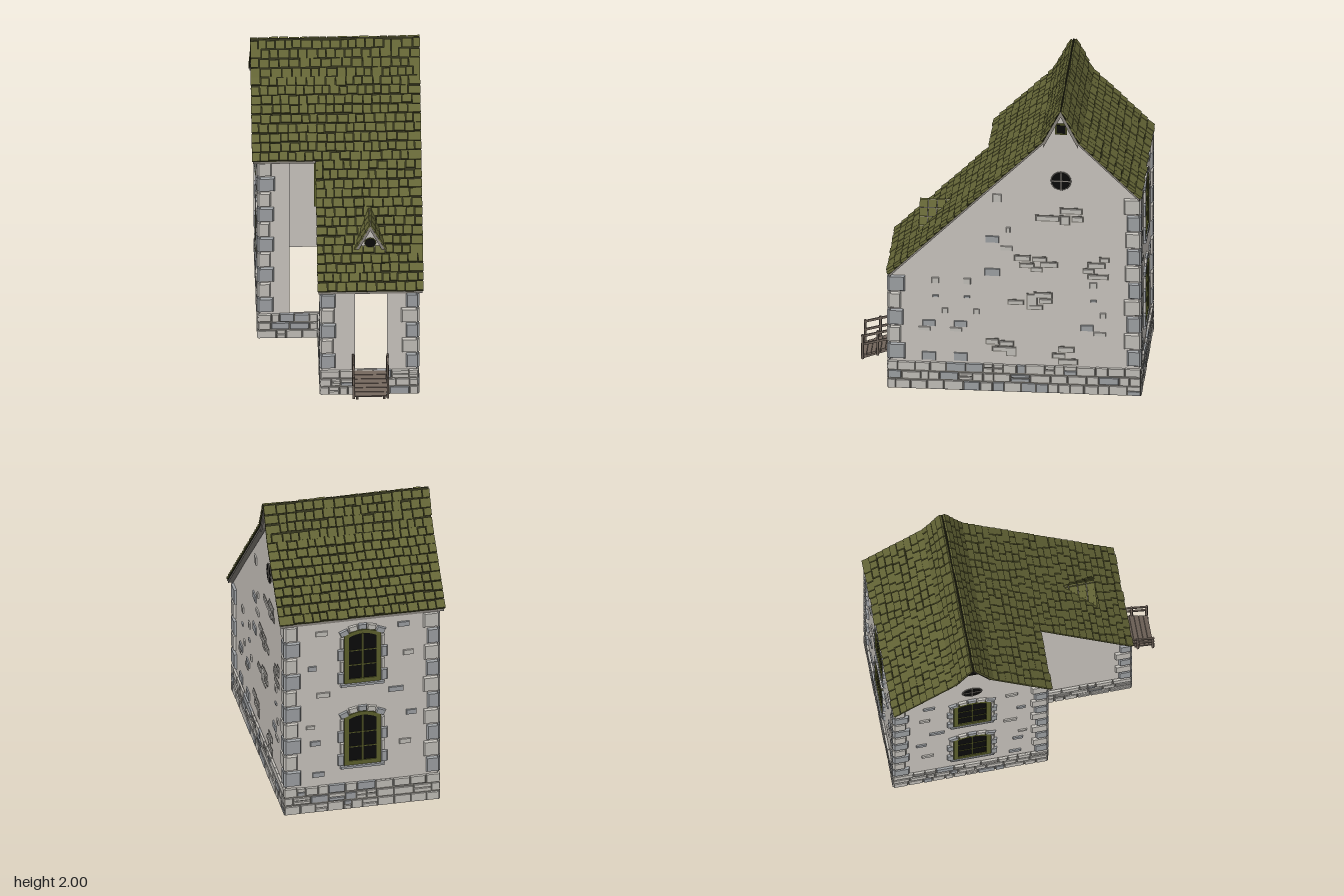
import * as THREE from 'three';
import { mergeGeometries } from 'three/addons/utils/BufferGeometryUtils.js';

const mat = (name, color) => Object.assign(new THREE.MeshStandardMaterial({ color }), { name });
const M = {
  plaster: mat('plaster', 0xc6c1bb), light: mat('light stone', 0xbfbcb6), mid: mat('grey stone', 0x9b9ea1),
  mortar: mat('mortar', 0x74716b), tile: mat('mossy tile', 0x646536), dark: mat('roof gap', 0x2f2f1b),
  trim: mat('trim', 0x87827b), glass: mat('dark pane', 0x0a0a0a), frame: mat('window frame', 0x5b5f2b),
  wood: mat('wood', 0x70645a),
};
M.plaster.side = THREE.DoubleSide;

let seed = 7;
const rnd = (a, b) => { seed = (seed * 16807) % 2147483647; return a + (b - a) * seed / 2147483647; };

function put(parent, name, material, geos) {
  const list = [].concat(geos).map(g => (g.index ? g.toNonIndexed() : g));
  const m = new THREE.Mesh(list.length > 1 ? mergeGeometries(list) : list[0], material);
  m.name = name;
  parent.add(m);
  return m;
}
const box = (w, h, d, x, y, z) => new THREE.BoxGeometry(w, h, d).translate(x, y, z);
// hewn block: the outer (+z) face is drawn in on all sides
function block(w, h, d, x, y, z, bevel = 0.006) {
  const g = new THREE.BoxGeometry(w, h, d).toNonIndexed(), p = g.attributes.position;
  for (let i = 0; i < p.count; i++) if (p.getZ(i) > 0) {
    p.setX(i, p.getX(i) - Math.sign(p.getX(i)) * bevel);
    p.setY(i, p.getY(i) - Math.sign(p.getY(i)) * bevel);
  }
  g.computeVertexNormals();
  return g.translate(x, y, z);
}
const shapeOf = pts => new THREE.Shape(pts.map(([a, b]) => new THREE.Vector2(a, b)));
const slab = (shape, depth, z = 0) =>
  new THREE.ExtrudeGeometry(shape, { depth, bevelEnabled: false, curveSegments: 8 }).translate(0, 0, z);

// arched window with stone surround, in wall coordinates
function archWindow(wall, u, y) {
  const g = new THREE.Group(); g.name = 'archedWindow'; g.position.set(u, y, 0); wall.add(g);
  const arch = (w, y0, y1, rise) => {
    const s = new THREE.Shape();
    s.moveTo(-w / 2, y0); s.lineTo(w / 2, y0); s.lineTo(w / 2, y1);
    s.quadraticCurveTo(0, y1 + rise * 2, -w / 2, y1);
    return s;
  };
  const ring = arch(0.238, 0, 0.35, 0.035);
  ring.holes.push(arch(0.18, 0.03, 0.335, 0.025));
  put(g, 'windowFrame', M.frame, slab(ring, 0.032, -0.03));
  put(g, 'windowPane', M.glass, slab(arch(0.2, 0.02, 0.34, 0.03), 0.02, -0.025));
  put(g, 'glazingBars', M.frame, [box(0.01, 0.33, 0.006, 0, 0.19, -0.004),
    ...[0.13, 0.235].map(v => box(0.18, 0.006, 0.006, 0, v, -0.004))]);
  const A = [], B = [];
  for (const s of [-1, 1]) for (let i = 0; i < 4; i++) {
    const w = i % 2 ? 0.028 : 0.046;
    (i % 2 ? A : B).push(block(w, 0.083, 0.02, s * (0.117 + w / 2), 0.04 + i * 0.085, -0.006));
  }
  for (let i = -2; i <= 2; i++)
    (i % 2 ? A : B).push(block(0.062, 0.045, 0.02, 0, 0, -0.006).rotateZ(-i * 0.2)
      .translate(i * 0.059, 0.407 - i * i * 0.0095, 0));
  B.push(block(0.29, 0.028, 0.024, 0, -0.014, -0.005));
  put(g, 'surroundLight', M.light, A);
  put(g, 'surroundGrey', M.mid, B);
}

// round window and small attic opening of a gable
function gableWindows(wall, u) {
  const g = new THREE.Group(); g.name = 'gableWindows'; g.position.set(u, 0, 0); wall.add(g);
  put(g, 'roundPane', M.glass, new THREE.CylinderGeometry(0.062, 0.062, 0.02, 20).rotateX(Math.PI / 2).translate(0, 1.485, -0.015));
  put(g, 'roundBars', M.trim, [box(0.007, 0.12, 0.005, 0, 1.485, -0.003), box(0.12, 0.007, 0.005, 0, 1.485, -0.003)]);
  put(g, 'roundRim', M.mortar, new THREE.TorusGeometry(0.062, 0.004, 5, 20).translate(0, 1.485, -0.007));
  put(g, 'atticFrame', M.frame, box(0.075, 0.075, 0.016, 0, 1.85, -0.008));
  put(g, 'atticPane', M.glass, box(0.058, 0.058, 0.02, 0, 1.85, -0.008));
}

// loose bricks showing through the plaster: [u, y, w, h, kind] (kind 1 grey, 2 mortar-edged)
function bricks(wall, list) {
  const L = [], G = [], E = [];
  for (const [u, y, w, h, kind] of list) {
    (kind === 1 ? G : L).push(block(w, h, 0.012, u, y, -0.008, 0.004));
    if (kind === 2) E.push(box(w + 0.009, h + 0.009, 0.006, u, y, -0.011));
  }
  put(wall, 'lightBricks', M.light, L);
  put(wall, 'greyBricks', M.mid, G);
  if (E.length) put(wall, 'brickJoints', M.mortar, E);
}

// footprint corners, walked so that local +z of each wall points outward
const P = [[0.5, 0.71], [0.5, -0.89], [-0.5, -0.89], [-0.5, 0.1], [-0.12, 0.1], [-0.12, 0.71]];
const TOP = [0.79, 1.38, 1.38, 1.38, 0, 0.79]; // quoin heights, 0 = inner corner
const PANELS = [
  [[[0.01, 0], [1.59, 0], [1.59, 1.38], [1.2, 1.75], [1.095, 1.965], [0.99, 1.75], [0.01, 0.795]]],
  [[[0.01, 0], [0.99, 0], [0.99, 1.385], [0.01, 1.385]]],
  [[[0.01, 0], [0.98, 0], [0.98, 1.385], [0.61, 1.75], [0.505, 1.965], [0.4, 1.75], [0.01, 1.38]]],
  [[[0.01, 0], [0.39, 0], [0.39, 0.19], [0.2, 0.19], [0.2, 1.39], [0.01, 1.39]]],
  [[[-0.01, 0], [0.6, 0], [0.6, 0.795], [-0.01, 1.385]]],
  [[[0.01, 0], [0.22, 0], [0.22, 0.8], [0.01, 0.8]], [[0.42, 0], [0.61, 0], [0.61, 0.8], [0.42, 0.8]],
    [[0.22, 0], [0.42, 0], [0.42, 0.19], [0.22, 0.19]]],
];

function buildWall(i) {
  const [x, z] = P[i], [x2, z2] = P[(i + 1) % 6], len = Math.hypot(x2 - x, z2 - z);
  const g = new THREE.Group(); g.name = 'wall' + (i + 1);
  g.position.set(x, 0, z); g.rotation.y = Math.atan2(z - z2, x2 - x);
  put(g, 'plasterPanel', M.plaster, PANELS[i].map(p => slab(shapeOf(p), 0.01, -0.02)));
  const L = [], G = [];
  // rubble base: courses of uneven stones, now and then one split into two thin ones
  put(g, 'baseJoints', M.mortar, box(len, 0.185, 0.01, len / 2, 0.0925, -0.008));
  for (let r = 0, y = 0; r < 3; r++) {
    const h = [0.07, 0.06, 0.066][r];
    for (let u = 0; u < len - 0.001;) {
      let w = rnd(0.05, 0.13);
      if (len - u - w < 0.05) w = len - u;
      const parts = rnd(0, 1) < 0.2 ? 2 : 1, hh = (h - rnd(0.002, 0.009)) / parts;
      for (let k = 0; k < parts; k++)
        (rnd(0, 1) < 0.85 ? L : G).push(block(w - 0.003, hh - 0.002, 0.012, u + w / 2, y + hh * (k + 0.5), rnd(-0.003, 0), 0.004));
      u += w;
    }
    y += h;
  }
  // quoins, long and short by turns
  [[0, TOP[i]], [1, TOP[(i + 1) % 6]]].forEach(([end, top]) => {
    const n = Math.round((top - 0.2) / 0.115), h = (top - 0.2) / n;
    for (let k = 0; k < n; k++) {
      const w = ((k + end) % 2 ? 0.09 : 0.11) + rnd(-0.007, 0.007);
      (k % 2 ? L : G).push(block(w, h - 0.002, 0.02, end ? len - w / 2 + 0.004 : w / 2 - 0.004, 0.2 + (k + 0.5) * h, -0.005, 0.011));
    }
  });
  put(g, 'lightStones', M.light, L);
  put(g, 'greyStones', M.mid, G);
  return g;
}

// roof outline from ridge to eave as [z, y]
const FRONT = [[-0.385, 1.985], [-0.275, 1.77], [0.11, 1.39], [0.705, 0.8]];
const BACK = [[-0.385, 1.985], [-0.495, 1.77], [-0.885, 1.39]];

function roofBand(path, x0, x1, lift, t) {
  const pts = [...path.map(([a, b]) => [a, b + lift]), ...path.map(([a, b]) => [a, b + lift - t]).reverse()];
  return slab(shapeOf(pts), x1 - x0).rotateY(-Math.PI / 2).translate(x1, 0, 0);
}

function tileRows(path, side) {
  const out = [], pitch = 0.06;
  for (let k = 0; k < path.length - 1; k++) {
    const [z0, y0] = path[k], [z1, y1] = path[k + 1], len = Math.hypot(z1 - z0, y1 - y0);
    const dz = (z1 - z0) / len, dy = (y1 - y0) / len, n = Math.round(len / pitch), step = len / n;
    const a = Math.atan2(-dy, dz) - side * 0.13;
    for (let r = 0; r < n; r++) {
      const s = (r + 0.5) * step, z = z0 + dz * s, y = y0 + dy * s;
      const xs = z > 0.11 ? -0.14 : -0.54;
      for (let x = xs; x < 0.529;) {
        let w = rnd(0.045, 0.072);
        if (0.535 - x - w < 0.035) w = 0.535 - x;
        const l = step - rnd(0.001, 0.012), lift = 0.011 + rnd(0, 0.004), j = rnd(-0.004, 0.004);
        out.push(new THREE.BoxGeometry(w - 0.005, 0.014, l).rotateX(a)
          .translate(x + w / 2, y + dy * j + side * dz * lift, z + dz * j - side * dy * lift));
        x += w;
      }
    }
  }
  return out;
}

function buildDormer() {
  const g = new THREE.Group(); g.name = 'dormer'; g.position.set(0.2, 0, 0);
  put(g, 'dormerFace', M.plaster, slab(shapeOf([[-0.085, 0.98], [0.085, 0.98], [0, 1.16]]), 0.01, 0.5));
  put(g, 'dormerBargeboard', M.trim, slab(shapeOf([[-0.1, 0.985], [-0.08, 0.985], [0, 1.148], [0.08, 0.985], [0.1, 0.985], [0, 1.185]]), 0.22, 0.31));
  put(g, 'dormerPane', M.glass, new THREE.CylinderGeometry(0.034, 0.034, 0.012, 12).rotateX(Math.PI / 2).translate(0, 1.045, 0.512));
  put(g, 'dormerRim', M.frame, new THREE.TorusGeometry(0.034, 0.004, 5, 12).translate(0, 1.045, 0.514));
  const tiles = [];
  for (const s of [-1, 1]) for (let r = 0; r < 4; r++) for (let c = 0; c < 4; c++) {
    const t = (r + 0.5) / 4;
    tiles.push(new THREE.BoxGeometry(0.052, 0.01, 0.052).rotateZ(-s * 1.04)
      .translate(s * (0.1 * t + 0.005), 1.188 - 0.2 * t, 0.337 + c * 0.056));
  }
  put(g, 'dormerTiles', M.tile, tiles);
  return g;
}

function buildRamp() {
  const g = new THREE.Group(); g.name = 'entranceRamp';
  g.position.set(0.195, 0, 0);
  const parts = [], slope = 0.35;
  for (let i = 0; i < 6; i++) // planks
    parts.push(new THREE.BoxGeometry(0.21 + rnd(-0.012, 0.012), 0.013, 0.029).rotateX(slope).translate(0, 0.178 - i * 0.0115, 0.725 + i * 0.03));
  for (const s of [-1, 1]) {
    parts.push(new THREE.BoxGeometry(0.015, 0.016, 0.19).rotateX(slope).translate(s * 0.085, 0.134, 0.802));
    for (const [z, y] of [[0.886, 0.185], [0.79, 0.215], [0.72, 0.235]]) // posts
      parts.push(new THREE.CylinderGeometry(0.008, 0.009, 0.17, 6).translate(s * 0.108, y, z));
    for (const y of [0.225, 0.282]) // rails
      parts.push(new THREE.BoxGeometry(0.01, 0.014, 0.19).rotateX(0.27).translate(s * 0.108, y, 0.802));
  }
  put(g, 'rampTimber', M.wood, parts);
  return g;
}

export function createModel() {
  const house = new THREE.Group(); house.name = 'stoneHouse';
  const walls = P.map((_, i) => buildWall(i));
  house.add(...walls);
  gableWindows(walls[0], 1.095);
  gableWindows(walls[2], 0.505);
  for (const y of [0.32, 0.92]) { archWindow(walls[1], 0.503, y); archWindow(walls[2], 0.505, y); }

  // exposed bricks
  const clusters = [[-0.45, 1.275, .14, .035], [-0.3, 1.22, .15, .035], [-0.41, 1.21, .06, .06], [-0.49, 1.22, .07, .035],
    [-.14, .935, .1, .035], [-.25, .93, .09, .03], [-.17, .885, .09, .03], [-.31, .895, .11, .035], [-.23, .86, .07, .03],
    [-.27, .68, .11, .035], [-.2, .645, .06, .08], [-.29, .64, .08, .03], [-.1, .625, .1, .03], [-.22, .595, .1, .03],
    [-.66, .94, .06, .03], [-.61, .9, .11, .035], [-.56, .86, .07, .03], [-.62, .82, .13, .03], [.05, .345, .08, .035],
    [-.04, .335, .09, .03], [0, .295, .1, .03], [-.07, .28, .06, .06], [-.42, .305, .1, .035], [-.37, .26, .08, .03], [-.43, .22, .12, .035]];
  const singles = [[.02, 1.35, .06, .06, 0], [.05, 1.06, .09, .05, 1], [-.04, 1.0, .08, .035, 0], [.05, .83, .1, .055, 1],
    [-.05, 1.13, .03, .04, 0], [.28, .42, .08, .03, 0], [.48, .42, .08, .03, 0], [-.63, .42, .08, .03, 0], [.35, .55, .04, .04, 0],
    [-.65, .55, .04, .04, 0], [.15, .55, .04, .04, 0], [.25, .23, .09, .06, 1], [.45, .23, .09, .06, 1]];
  for (const z of [.45, .25, -.55]) singles.push([z, .46, .085, .045, 1], [z - .04, .76, .05, .045, 0], [z - .04, .65, .04, .02, 1]);
  bricks(walls[0], [...clusters.map(b => [...b, 2]), ...singles].map(([z, ...r]) => [0.71 - z, ...r]));
  const around = [[.2, .5, .07, .04, 1], [.17, .62, .06, .03, 0], [.78, .45, .08, .04, 0], [.82, .66, .07, .04, 1], [.25, .85, .09, .04, 0],
    [.72, .84, .1, .04, 1], [.18, 1.05, .06, .04, 1], [.8, 1.1, .07, .04, 0], [.24, 1.3, .08, .04, 0], [.77, 1.31, .08, .04, 1], [.22, .27, .08, .04, 1]];
  bricks(walls[1], around);
  bricks(walls[2], around.map(([u, ...r]) => [1 - u, ...r]));

  // roof: boarding, dark underlay, tiles
  const roof = new THREE.Group(); roof.name = 'roof'; house.add(roof);
  const back = [...BACK].reverse().slice(0, -1), low = [...back, ...FRONT], high = [...back, ...FRONT.slice(0, 3)];
  put(roof, 'roofBoarding', M.trim, [roofBand(high, -0.53, -0.13, 0, 0.016), roofBand(low, -0.13, 0.525, 0, 0.016)]);
  put(roof, 'roofUnderlay', M.dark, [roofBand(high, -0.535, -0.135, 0.009, 0.009), roofBand(low, -0.135, 0.53, 0.009, 0.009)]);
  put(roof, 'roofTiles', M.tile, [...tileRows(FRONT, 1), ...tileRows(BACK, -1)]);
  // peak boards at both gable ends
  for (const x of [-0.525, 0.515])
    put(roof, 'peakBoard', M.trim, roofBand([[-0.495, 1.77], [-0.385, 1.985], [-0.275, 1.77]], x, x + 0.01, -0.005, 0.035));
  house.add(buildDormer(), buildRamp());
  return house;
}
